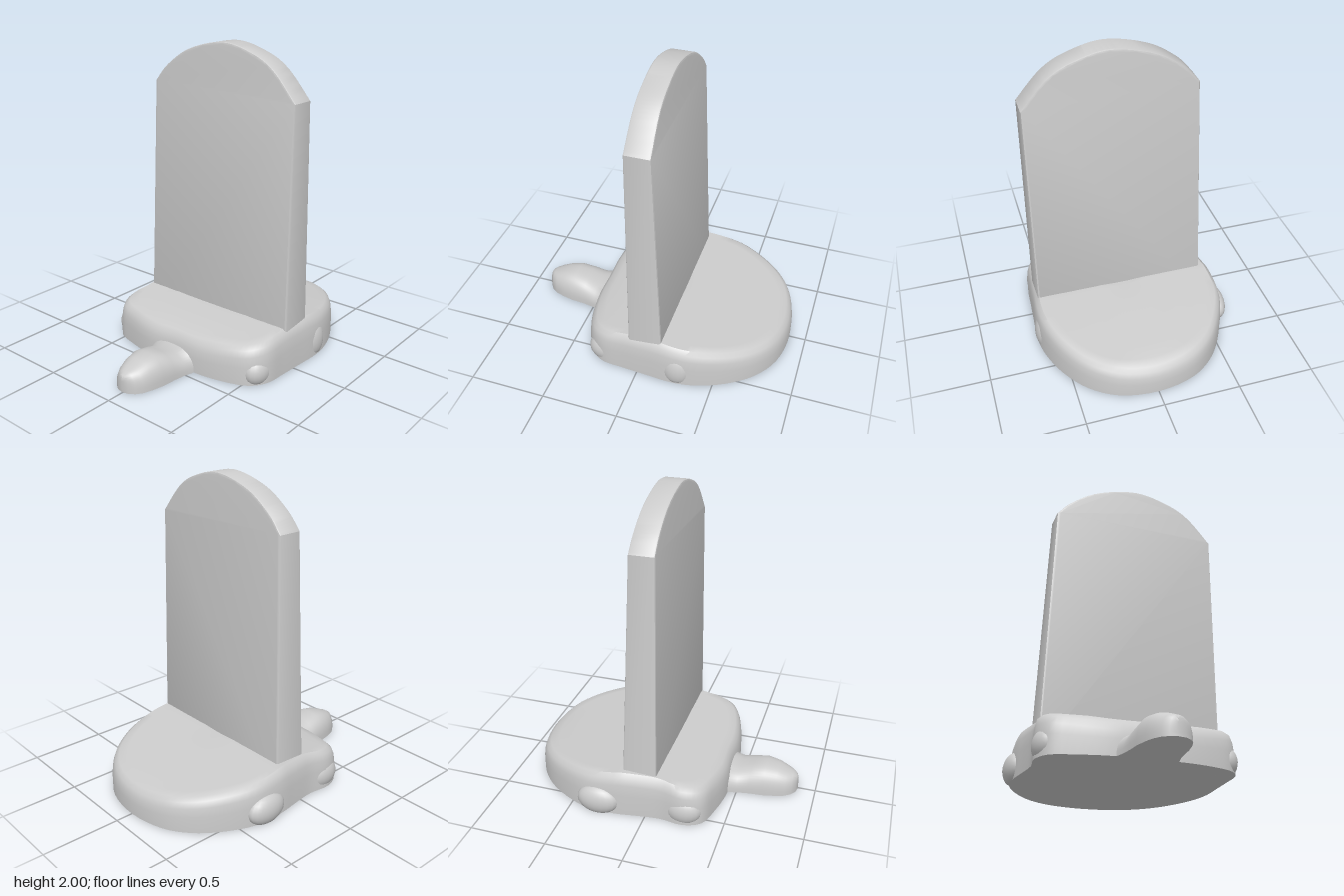
import * as THREE from 'three';
import { toCreasedNormals } from 'three/addons/utils/BufferGeometryUtils.js';

const material = new THREE.MeshStandardMaterial({ color: 0xcccccc });

function part(name, geometry, crease = 0.6) {
  const mesh = new THREE.Mesh(toCreasedNormals(geometry, crease), material);
  mesh.name = name;
  return mesh;
}

// Skin a list of closed rings, each with the same number of points
function loft(rings) {
  const n = rings[0].length, index = [];
  for (let i = 0; i < rings.length - 1; i++) {
    for (let j = 0; j < n; j++) {
      const a = i * n + j, c = i * n + (j + 1) % n;
      index.push(a, a + n, c, c, a + n, c + n);
    }
  }
  const geometry = new THREE.BufferGeometry();
  geometry.setAttribute('position', new THREE.Float32BufferAttribute(rings.flat(2), 3));
  geometry.setIndex(index);
  return geometry;
}

// Piecewise linear lookup in [input, output] pairs
function lookup(table, t) {
  if (t <= table[0][0]) return table[0][1];
  for (let i = 1; i < table.length; i++) {
    const [a, u] = table[i - 1], [b, v] = table[i];
    if (t <= b) return u + (v - u) * (t - a) / (b - a);
  }
  return table[table.length - 1][1];
}

// Upright slab with an arched top, thinner towards the top
function slab() {
  const bevel = 0.012;
  const shape = new THREE.Shape();
  shape.moveTo(-0.525, 0.1);
  shape.lineTo(0.59, 0.1);
  shape.lineTo(0.6, 1.685);
  shape.splineThru([[0.45, 1.855], [0.3, 1.94], [0.08, 1.988], [-0.18, 1.93], [-0.36, 1.82], [-0.458, 1.715]]
    .map(([x, y]) => new THREE.Vector2(x, y)));
  shape.closePath();
  const geometry = new THREE.ExtrudeGeometry(shape, {
    depth: 0.2 - 2 * bevel, bevelThickness: bevel, bevelSize: bevel, bevelSegments: 2, curveSegments: 6,
  });
  const p = geometry.attributes.position;
  for (let i = 0; i < p.count; i++) {
    const t = (p.getY(i) - 0.28) / 1.72, k = (p.getZ(i) + bevel) / 0.2;
    const back = -0.16 + 0.055 * t, front = 0.06 - 0.015 * t;
    p.setZ(i, back + (front - back) * k);
  }
  return part('slab', geometry, 0.5);
}

// Shell-shaped base: plan outline with a height that follows z
function shell() {
  const plan = [[0, -0.89], [0.25, -0.85], [0.42, -0.74], [0.54, -0.58], [0.615, -0.4], [0.64, -0.25],
    [0.63, -0.05], [0.62, 0.1], [0.605, 0.25], [0.54, 0.345], [0.4, 0.405], [0.2, 0.44], [0, 0.44],
    [-0.2, 0.445], [-0.4, 0.41], [-0.54, 0.36], [-0.59, 0.25], [-0.575, 0.1], [-0.59, -0.05],
    [-0.61, -0.2], [-0.6, -0.4], [-0.51, -0.6], [-0.4, -0.74], [-0.25, -0.84]];
  const curve = new THREE.CatmullRomCurve3(plan.map(([x, z]) => new THREE.Vector3(x, 0, z)), true);
  const outline = curve.getPoints(96).slice(0, -1);
  const height = [[-0.89, 0.17], [-0.8, 0.205], [-0.5, 0.25], [-0.16, 0.295], [0.06, 0.285],
    [0.3, 0.25], [0.38, 0.232], [0.44, 0.2]];
  const profile = [[0, 0], [1, 0], [1, 0.5], [0.99, 0.75], [0.97, 0.92], [0.93, 1],
    [0.85, 1], [0.7, 1], [0.5, 1], [0.25, 1], [0, 1]];
  const cx = 0.02, cz = -0.2;
  return part('shellBase', loft(profile.map(([s, f]) => outline.map((o) => {
    const x = cx + (o.x - cx) * s, z = cz + (o.z - cz) * s;
    return [x, f * lookup(height, z), z];
  }))), 0.7);
}

// Head and neck: flat-bottomed arches along z
function head() {
  const stations = [[0.3, 0.24, 0.24], [0.37, 0.22, 0.23], [0.43, 0.185, 0.14], [0.5, 0.165, 0.13],
    [0.58, 0.152, 0.16], [0.67, 0.145, 0.178], [0.75, 0.128, 0.165], [0.81, 0.108, 0.14],
    [0.85, 0.08, 0.125], [0.875, 0.045, 0.11], [0.885, 0, 0.09]];
  const rings = stations.map(([z, w, h]) => Array.from({ length: 25 }, (_, j) => {
    const a = Math.PI * (1 - j / 24), c = Math.cos(a);
    return [w * Math.sign(c) * Math.abs(c) ** 0.75 - 0.005, h * Math.max(0, Math.sin(a)) ** 0.75, z];
  }));
  return part('head', loft(rings), 0.8);
}

// Rounded foot, flat where it meets the ground
function foot(name, [x, y, z], [rx, ry, rz]) {
  const geometry = new THREE.SphereGeometry(1, 20, 14).scale(rx, ry, rz).translate(x, y, z);
  const p = geometry.attributes.position;
  for (let i = 0; i < p.count; i++) p.setY(i, Math.max(0, p.getY(i)));
  return part(name, geometry, 0.9);
}

export function createModel() {
  const model = new THREE.Group();
  model.name = 'tombstone';
  model.add(
    slab(),
    shell(),
    head(),
    foot('frontRightFoot', [-0.53, 0.08, 0.24], [0.075, 0.1, 0.12]),
    foot('frontLeftFoot', [0.53, 0.07, 0.25], [0.08, 0.1, 0.11]),
    foot('backRightFoot', [-0.59, 0.08, -0.31], [0.07, 0.1, 0.14]),
    foot('backLeftFoot', [0.59, 0.09, -0.26], [0.065, 0.13, 0.1]),
  );
  return model;
}
